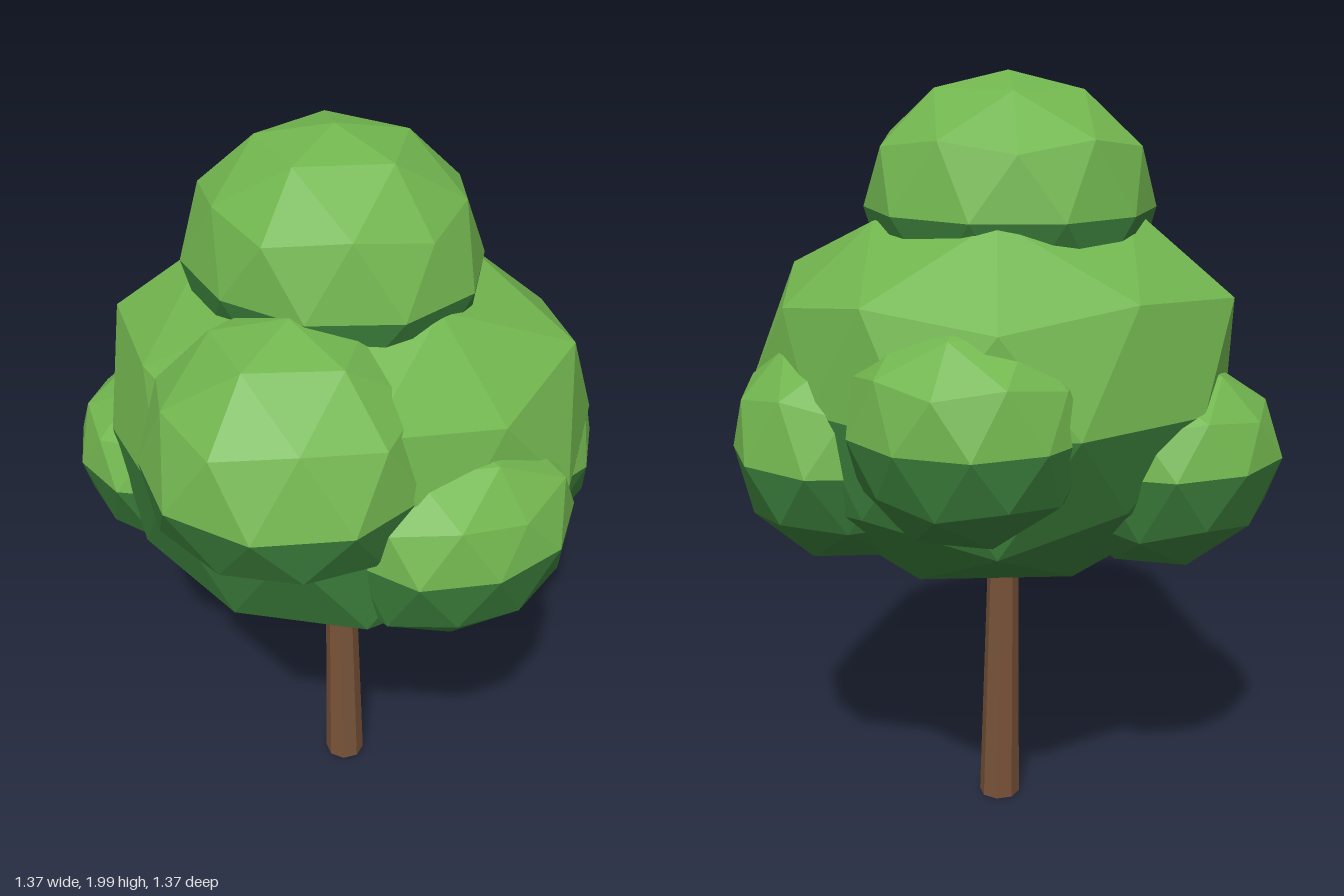
import * as THREE from 'three';

const leafLight = new THREE.MeshStandardMaterial({ color: 0x72b64f, flatShading: true });
const leafDark = new THREE.MeshStandardMaterial({ color: 0x397a39, flatShading: true });
const bark = new THREE.MeshStandardMaterial({ color: 0x785238, flatShading: true });

// Repeatable value in -1..1 for a point, so shared corners move together
function noise(v, seed) {
  const key = Math.round(v.x * 100) * 12.9898 + Math.round(v.y * 100) * 78.233 + Math.round(v.z * 100) * 37.719;
  const s = Math.sin(key + seed * 51.37) * 43758.5453;
  return 2 * (s - Math.floor(s)) - 1;
}

function halfMesh(name, points, material) {
  const geometry = new THREE.BufferGeometry().setFromPoints(points);
  geometry.computeVertexNormals();
  const mesh = new THREE.Mesh(geometry, material);
  mesh.name = name;
  return mesh;
}

// Faceted leaf clump: light upper half, dark lower half, split at its equator.
// size = [x radius, height above, z radius], drop = height below,
// bumps = [direction x, y, z, amount] swell or dent one side.
function leafClump({ name, at, size, drop = size[1], turn = Math.PI / 10, power = 2, jitter = 0.03, seed, bumps = [] }) {
  const ico = new THREE.IcosahedronGeometry(1, 1);
  ico.rotateX(-Math.atan((1 + Math.sqrt(5)) / 2)); // one corner straight up
  ico.rotateY(turn);
  const pos = ico.attributes.position;
  const upper = [], lower = [];
  for (let i = 0; i < pos.count; i += 3) {
    const tri = [0, 1, 2].map(k => new THREE.Vector3().fromBufferAttribute(pos, i + k));
    const isUpper = tri[0].y + tri[1].y + tri[2].y > 0;
    for (const v of tri) {
      const boxy = (Math.abs(v.x) ** power + Math.abs(v.y) ** power + Math.abs(v.z) ** power) ** (-1 / power);
      let r = boxy * (1 + jitter * noise(v, seed));
      for (const [x, y, z, amount] of bumps) {
        r += amount * Math.max(0, v.dot(new THREE.Vector3(x, y, z).normalize())) ** 6;
      }
      const scale = new THREE.Vector3(size[0], isUpper ? size[1] : drop, size[2]);
      (isUpper ? upper : lower).push(v.clone().multiplyScalar(r).multiply(scale));
    }
  }
  const group = new THREE.Group();
  group.name = name;
  group.add(halfMesh('upperLeaves', upper, leafLight), halfMesh('lowerLeaves', lower, leafDark));
  group.position.set(...at);
  return group;
}

export function createModel() {
  const tree = new THREE.Group();
  tree.name = 'tree';

  // Trunk: tapered and leaning slightly
  const trunkGeometry = new THREE.CylinderGeometry(0.036, 0.056, 1, 8);
  trunkGeometry.translate(0, 0.5, 0);
  const p = trunkGeometry.attributes.position;
  for (let i = 0; i < p.count; i++) p.setX(i, p.getX(i) - 0.025 - 0.022 * p.getY(i));
  const trunk = new THREE.Mesh(trunkGeometry, bark);
  trunk.name = 'trunk';
  tree.add(trunk);

  // Crown: one large clump with smaller ones around it
  const clumps = [
    {
      name: 'mainCrown', at: [-0.02, 1.2, -0.01], size: [0.57, 0.48, 0.575], turn: 0.3, power: 2.6, seed: 3,
      bumps: [[-0.53, 0.8, 0.3, 0.09], [-0.9, 0.45, 0, 0.05], [0.9, 0.1, -0.35, 0.08], [0.6, -0.8, 0, -0.05]],
    },
    { name: 'topClump', at: [-0.045, 1.66, 0.01], size: [0.38, 0.34, 0.355], power: 2.1, jitter: 0.02, seed: 2 },
    { name: 'frontClump', at: [0.14, 1.31, 0.31], size: [0.37, 0.37, 0.37], drop: 0.28, seed: 5 },
    { name: 'frontRightClump', at: [-0.4, 1.06, 0.24], size: [0.28, 0.24, 0.3], drop: 0.3, turn: 0, power: 2.1, seed: 7 },
    { name: 'leftClump', at: [0.4, 1.14, 0.04], size: [0.28, 0.24, 0.31], drop: 0.27, power: 2.4, seed: 4 },
    { name: 'backClump', at: [0.12, 1.06, -0.37], size: [0.32, 0.32, 0.31], drop: 0.3, seed: 6 },
    { name: 'backRightClump', at: [-0.31, 1.19, -0.31], size: [0.3, 0.28, 0.3], turn: 0, power: 2.1, seed: 8 },
  ];
  for (const clump of clumps) tree.add(leafClump(clump));
  return tree;
}
